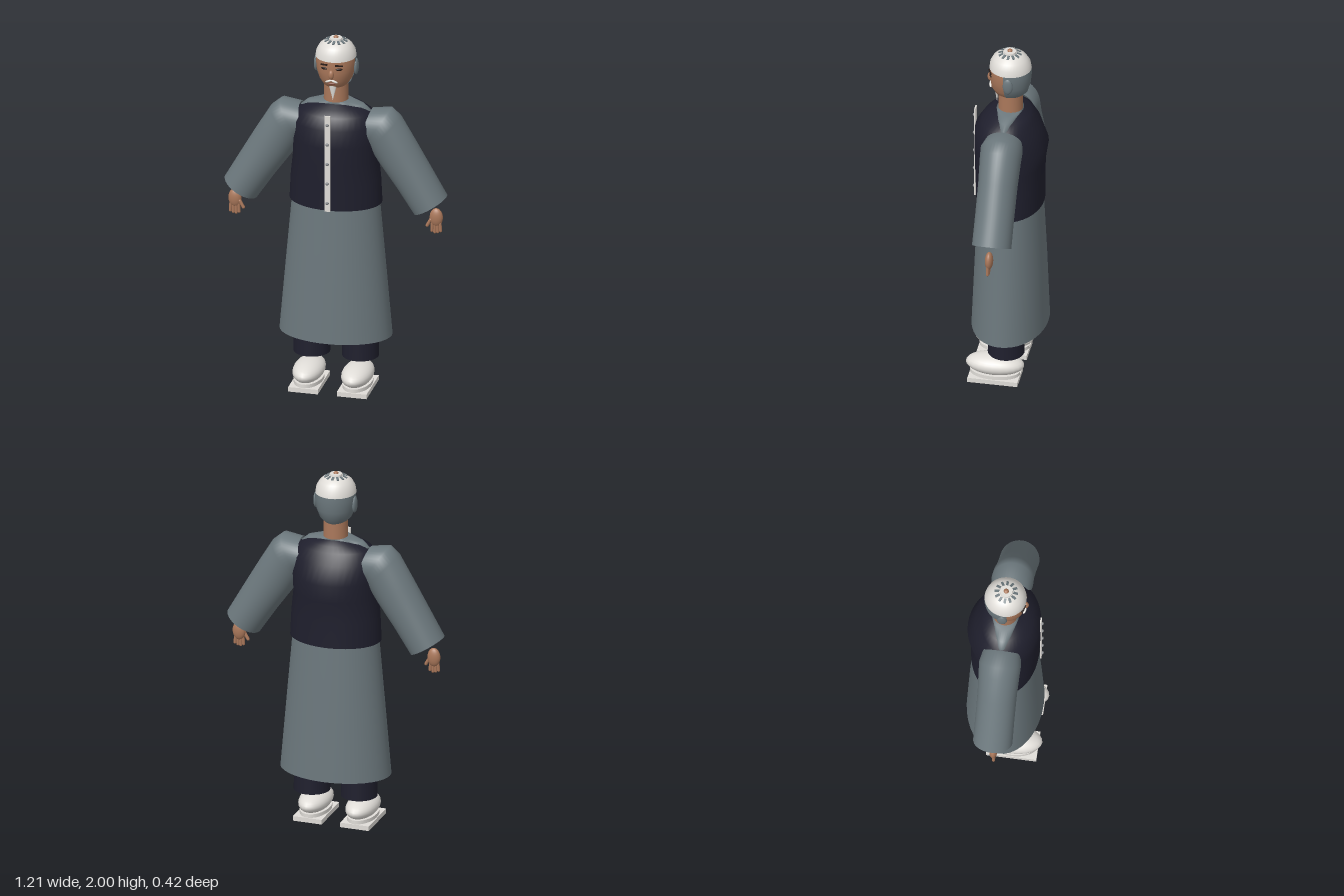
import * as THREE from 'three';

const mat = (name, color, open) => {
  const m = new THREE.MeshStandardMaterial({ color });
  m.name = name;
  if (open) m.side = THREE.DoubleSide;
  return m;
};

export function createModel() {
  const model = new THREE.Group();
  model.name = 'robedElder';
  const grey = mat('grey cloth', 0x6b777c, true);
  const navy = mat('navy cloth', 0x1f1f2d, true);
  const white = mat('off white', 0xe0ddd8, true);
  const skin = mat('skin', 0xa9775a);
  const dark = mat('dark brown', 0x2a1d19);
  const lip = mat('lip', 0x87503f);
  const button = mat('button grey', 0x85878a);

  const add = (name, geometry, material, pos = [0, 0, 0], rot = [0, 0, 0], scale = [1, 1, 1], parent = model) => {
    const m = new THREE.Mesh(geometry, material);
    m.name = name;
    m.position.set(...pos);
    m.rotation.set(...rot);
    m.scale.set(...scale);
    parent.add(m);
    return m;
  };
  const ball = (name, material, pos, r, rot, parent) =>
    add(name, new THREE.SphereGeometry(1, 24, 16), material, pos, rot, r, parent);

  // Skin over elliptical rings: { c: centre, ux, uy: side axis, f, b: front and back depth }
  function loft(rings, start = 0, sweep = Math.PI * 2, n = 40) {
    const closed = sweep > 6.28;
    const cols = closed ? n : n + 1;
    const p = [], idx = [];
    for (const r of rings)
      for (let j = 0; j < cols; j++) {
        const t = start + (sweep * j) / n, s = Math.sin(t), c = Math.cos(t);
        p.push(r.c[0] + c * r.ux, r.c[1] + c * r.uy, s * (s > 0 ? r.f : r.b));
      }
    for (let i = 0; i < rings.length - 1; i++)
      for (let j = 0; j < n; j++) {
        const k = (j + 1) % cols;
        const a = i * cols + j, b = i * cols + k, c = a + cols, d = b + cols;
        idx.push(a, c, b, b, c, d);
      }
    const g = new THREE.BufferGeometry();
    g.setAttribute('position', new THREE.Float32BufferAttribute(p, 3));
    g.setIndex(idx);
    g.computeVertexNormals();
    return g;
  }
  // Upright rows: [y, half width, front depth, back depth]
  const upright = (rows) => rows.map(([y, ux, f, b]) => ({ c: [0, y], ux, uy: 0, f, b }));

  // Robe skirt and the collar showing above the vest
  add('robeSkirt', loft(upright([[0.3, 0.305, 0.2, 0.208], [0.7, 0.27, 0.184, 0.194], [1.09, 0.235, 0.166, 0.176]])), grey);
  add('robeShoulders', loft(upright([
    [1.5, 0.21, 0.06, 0.06], [1.59, 0.19, 0.055, 0.055], [1.62, 0.155, 0.06, 0.06],
    [1.635, 0.09, 0.07, 0.075], [1.64, 0.06, 0.058, 0.062]])), grey);

  // Vest with front placket and buttons
  add('vest', loft(upright([
    [1.06, 0.25, 0.175, 0.185], [1.2, 0.243, 0.18, 0.185], [1.32, 0.23, 0.185, 0.19],
    [1.42, 0.235, 0.187, 0.205], [1.52, 0.235, 0.183, 0.165], [1.58, 0.2, 0.145, 0.13],
    [1.61, 0.15, 0.105, 0.11], [1.634, 0.07, 0.06, 0.07]])), navy);
  add('placket', new THREE.BoxGeometry(0.032, 0.55, 0.008), white, [0, 1.335, 0.186]);
  for (let i = 0; i < 5; i++) ball('button', button, [0, 1.11 + i * 0.1125, 0.194], [0.009, 0.009, 0.007]);

  for (const s of [1, -1]) {
    const side = s > 0 ? 'left' : 'right';

    // Wide open sleeve
    const sleeve = [
      [0.5175, 1.078, 0.0875, 0.0525, 0.105], [0.43, 1.22, 0.093, 0.055, 0.104],
      [0.34, 1.36, 0.1, 0.06, 0.105], [0.27, 1.475, 0.083, 0.09, 0.11],
      [0.235, 1.51, 0.065, 0.1, 0.112], [0.17, 1.51, 0.025, 0.085, 0.1]];
    add(side + 'Sleeve', loft(sleeve.map(([x, y, ux, uy, d]) =>
      ({ c: [s * x, y], ux, uy: s * uy, f: d, b: d }))), grey);

    // Hand with four fingers and a thumb
    const hand = new THREE.Group();
    hand.name = side + 'Hand';
    hand.position.set(s * 0.55, 1.005, 0.008);
    model.add(hand);
    ball('palm', skin, [0, 0.005, 0], [0.036, 0.052, 0.022], undefined, hand);
    for (let i = 0; i < 4; i++) {
      const x = -0.022 + i * 0.015;
      add('finger', new THREE.CapsuleGeometry(0.0085, 0.045, 4, 10), skin,
        [s * x, -0.058 + Math.abs(i - 1.3) * 0.007, 0.004], [0, 0, s * x * 3], undefined, hand);
    }
    add('thumb', new THREE.CapsuleGeometry(0.009, 0.04, 4, 10), skin,
      [s * -0.038, -0.025, 0.008], [0, 0, s * -0.5], undefined, hand);

    // Trouser leg with wider cuff
    add(side + 'TrouserLeg', new THREE.CylinderGeometry(0.08, 0.075, 0.6, 28), navy, [s * 0.133, 0.68, -0.005]);
    add(side + 'TrouserCuff', new THREE.CylinderGeometry(0.095, 0.098, 0.2, 32), navy, [s * 0.133, 0.27, -0.005]);
    add(side + 'TrouserTaper', new THREE.CylinderGeometry(0.075, 0.095, 0.05, 32), navy, [s * 0.133, 0.395, -0.005]);

    // Shoe: rounded upper, welt and flat sole
    ball(side + 'Shoe', white, [s * 0.133, 0.087, 0.055], [0.083, 0.057, 0.157]);
    add(side + 'Welt', new THREE.CylinderGeometry(1, 1, 0.02, 32), white, [s * 0.133, 0.038, 0.055], undefined, [0.078, 1, 0.135]);
    add(side + 'Sole', new THREE.BoxGeometry(0.162, 0.026, 0.27), white, [s * 0.133, 0.013, 0.055]);

    // Ear, eye, brow and moustache half
    ball(side + 'Ear', grey, [s * 0.109, 1.83, -0.008], [0.013, 0.046, 0.027]);
    ball(side + 'Eye', dark, [s * 0.041, 1.846, 0.097], [0.018, 0.007, 0.005], [0, s * 0.35, 0]);
    add(side + 'Brow', new THREE.BoxGeometry(0.042, 0.007, 0.008), dark, [s * 0.041, 1.868, 0.099], [0, s * 0.38, s * -0.1]);
    ball(side + 'Moustache', white, [s * 0.016, 1.776, 0.101], [0.02, 0.006, 0.008], [0, s * 0.2, s * -0.4]);
  }

  // Neck, head and face
  add('neck', new THREE.CylinderGeometry(0.064, 0.067, 0.14, 32), skin, [0, 1.67, -0.004]);
  add('head', loft(upright([
    [1.714, 0.002, 0.002, 0.002], [1.716, 0.045, 0.05, 0.05], [1.735, 0.068, 0.078, 0.065],
    [1.77, 0.089, 0.098, 0.09], [1.82, 0.103, 0.105, 0.1], [1.87, 0.107, 0.105, 0.108], [1.91, 0.1, 0.1, 0.105]])), skin);
  ball('nose', skin, [0, 1.815, 0.106], [0.015, 0.026, 0.015]);
  ball('mouth', lip, [0, 1.759, 0.093], [0.022, 0.006, 0.006]);
  add('goatee', new THREE.ConeGeometry(0.022, 0.085, 20), white, [0, 1.698, 0.07], [Math.PI, 0, 0], [1, 1, 0.5]);

  // Hair round the back of the head
  add('hair', loft(upright([
    [1.715, 0.048, 0.05, 0.06], [1.75, 0.084, 0.09, 0.096], [1.8, 0.104, 0.108, 0.111],
    [1.86, 0.111, 0.11, 0.117], [1.9, 0.106, 0.106, 0.113]]), Math.PI - 0.15, Math.PI + 0.3), grey);

  // Cap with toothed trim, disc and knob
  add('cap', loft(upright([
    [1.887, 0.109, 0.109, 0.116], [1.92, 0.104, 0.105, 0.11], [1.95, 0.087, 0.089, 0.092],
    [1.968, 0.066, 0.067, 0.07], [1.978, 0.042, 0.042, 0.044], [1.982, 0.002, 0.002, 0.002]])), white);
  for (let i = 0; i < 12; i++) {
    const tooth = new THREE.Group();
    tooth.name = 'capTrim';
    tooth.rotation.y = (i * Math.PI) / 6;
    model.add(tooth);
    add('tooth', new THREE.BoxGeometry(0.013, 0.005, 0.026), grey, [0, 1.975, 0.05], [0.4, 0, 0], undefined, tooth);
  }
  add('capDisc', new THREE.CylinderGeometry(0.033, 0.035, 0.012, 28), white, [0, 1.983, 0]);
  ball('capKnob', skin, [0, 1.988, 0], [0.014, 0.012, 0.014]);

  return model;
}
